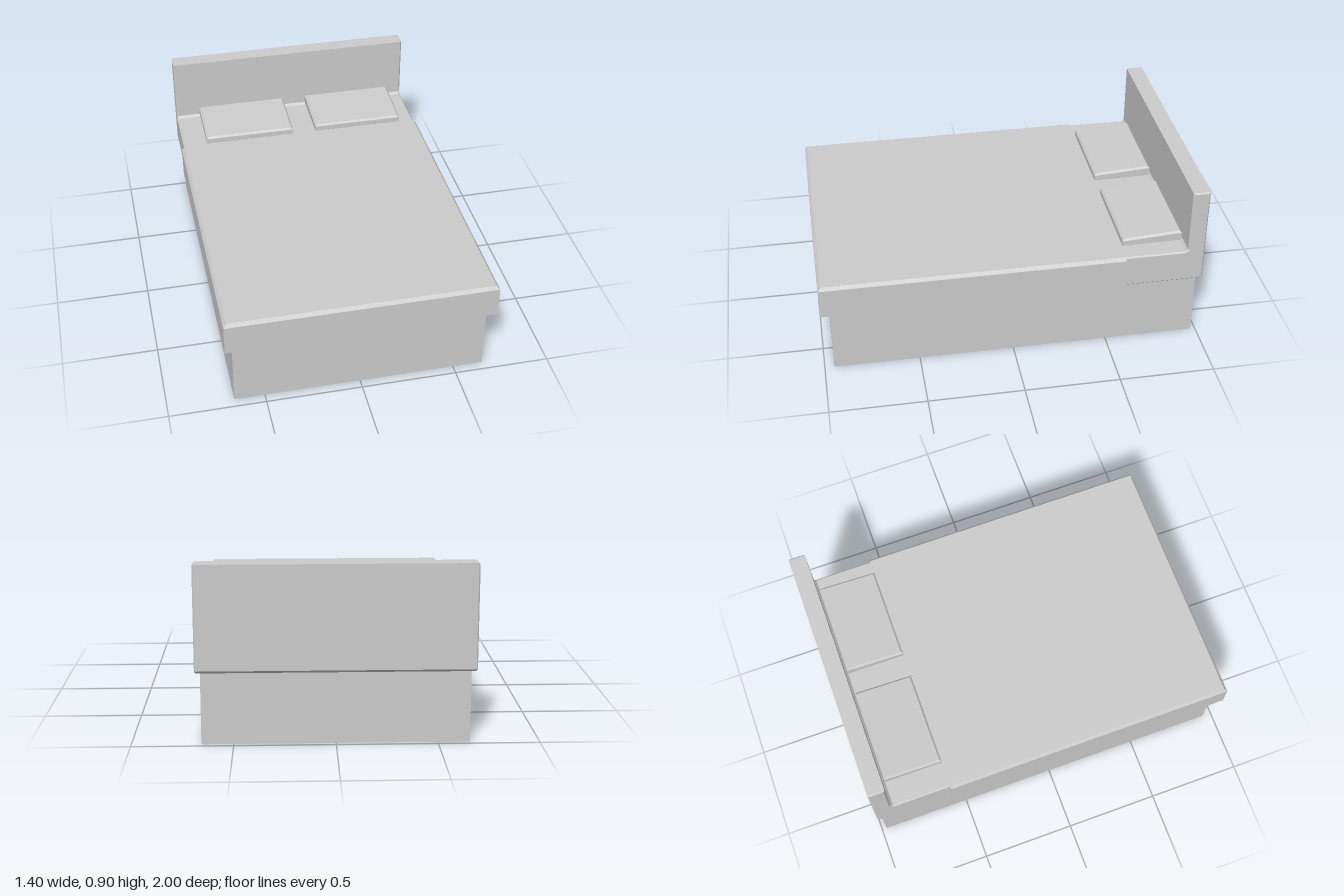
import * as THREE from 'three';

const material = new THREE.MeshStandardMaterial({ color: 0xcccccc, flatShading: true });

function addPart(parent, name, geometry) {
  const mesh = new THREE.Mesh(geometry, material);
  mesh.name = name;
  parent.add(mesh);
  return mesh;
}

// Closed solid through rectangular rings, bottom to top.
// Each ring: [half width, front z, back z, front y, back y]
function ringSolid(rings) {
  const pos = [], index = [];
  for (const [w, zf, zb, yf, yb] of rings) {
    pos.push(-w, yf, zf, w, yf, zf, w, yb, zb, -w, yb, zb);
  }
  for (let r = 0; r < rings.length - 1; r++) {
    for (let i = 0; i < 4; i++) {
      const a = r * 4 + i, b = r * 4 + (i + 1) % 4;
      index.push(a, b, b + 4, a, b + 4, a + 4);
    }
  }
  const t = (rings.length - 1) * 4;
  index.push(0, 2, 1, 0, 3, 2, t, t + 1, t + 2, t, t + 2, t + 3);
  const geometry = new THREE.BufferGeometry();
  geometry.setAttribute('position', new THREE.Float32BufferAttribute(pos, 3));
  geometry.setIndex(index);
  const flat = geometry.toNonIndexed();
  flat.computeVertexNormals();
  return flat;
}

export function createModel() {
  const bed = new THREE.Group();
  bed.name = 'bed';

  // Solid plinth
  const base = addPart(bed, 'base', new THREE.BoxGeometry(1.316, 0.37, 1.925));
  base.position.set(0, 0.185, -0.0125);

  // Mattress end and headboard share one L-shaped side profile (z, y)
  const profile = new THREE.Shape([
    [-0.5, 0.362], [-0.985, 0.362], [-1, 0.375], [-1, 0.897], [-0.91, 0.897],
    [-0.91, 0.553], [-0.897, 0.54], [-0.5, 0.54],
  ].map(([z, y]) => new THREE.Vector2(z, y)));
  const bevel = 0.007, width = 1.37;
  const lShape = new THREE.ExtrudeGeometry(profile, {
    depth: width - 2 * bevel, bevelEnabled: true, bevelSegments: 1,
    bevelSize: bevel, bevelThickness: bevel, bevelOffset: -bevel,
  });
  lShape.translate(0, 0, bevel - width / 2).rotateY(-Math.PI / 2);
  addPart(bed, 'mattressAndHeadboard', lShape);

  // Blanket with chamfered sides and foot, cut straight at the head end
  addPart(bed, 'blanket', ringSolid([
    [0.682, 0.985, -0.582, 0.358, 0.358],
    [0.699, 1, -0.582, 0.368, 0.368],
    [0.699, 1, -0.582, 0.528, 0.528],
    [0.685, 0.985, -0.582, 0.545, 0.545],
  ]));

  // Two wedge-shaped pillows, thicker towards the headboard
  const pillow = ringSolid([
    [0.243, -0.592, -0.888, 0.545, 0.549],
    [0.253, -0.582, -0.897, 0.552, 0.556],
    [0.253, -0.582, -0.897, 0.58, 0.6],
    [0.243, -0.592, -0.888, 0.59, 0.61],
  ]);
  for (const [name, x] of [['rightPillow', -0.298], ['leftPillow', 0.342]]) {
    addPart(bed, name, pillow).position.x = x;
  }
  return bed;
}
